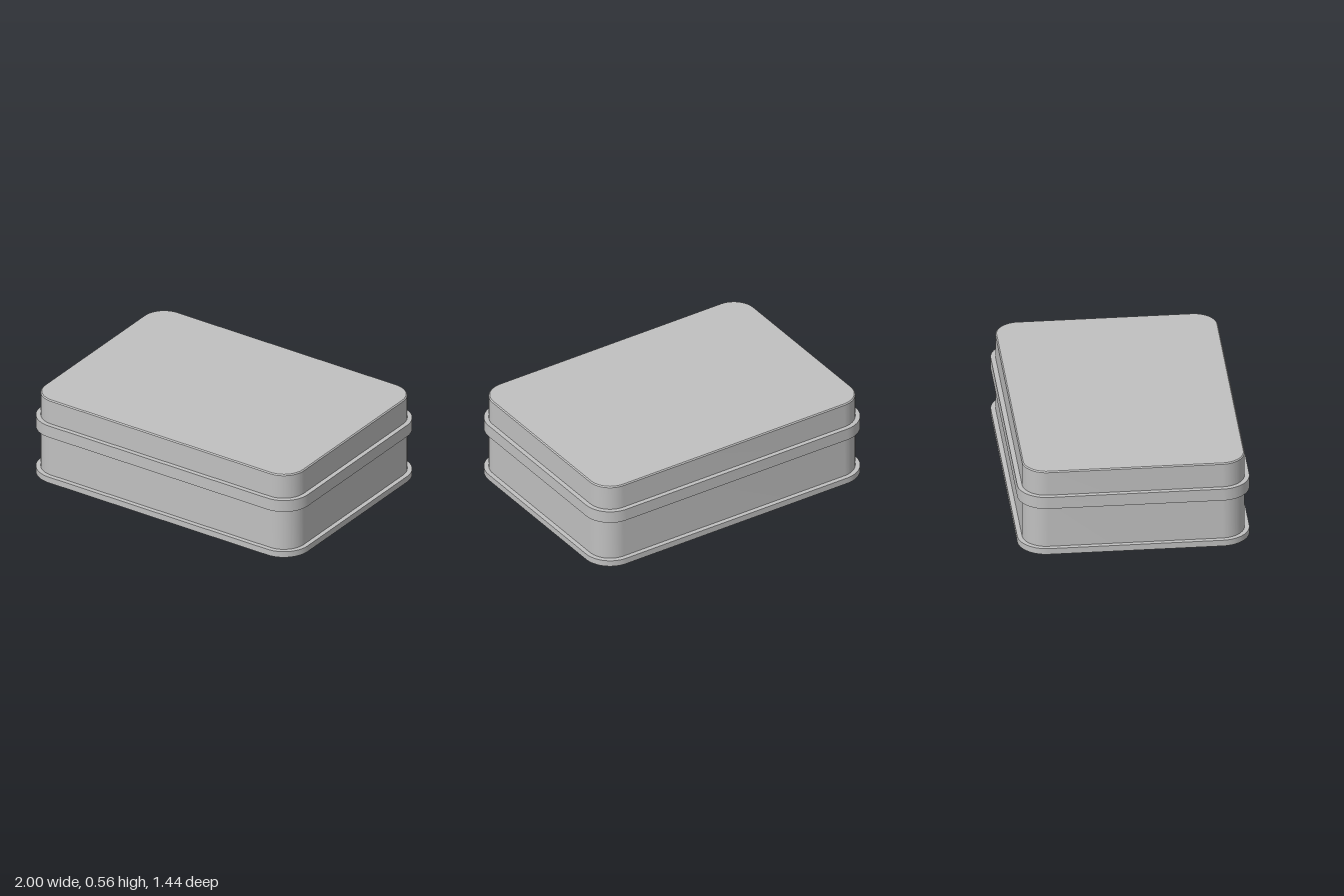
import * as THREE from 'three';
import { toCreasedNormals } from 'three/addons/utils/BufferGeometryUtils.js';

// Rounded rectangle outline with half sizes w, d and corner radius r
function outline(w, d, r) {
  const s = new THREE.Shape();
  const corners = [[1, 1], [-1, 1], [-1, -1], [1, -1]];
  corners.forEach(([sx, sy], i) => {
    s.absarc(sx * (w - r), sy * (d - r), r, i * Math.PI / 2, (i + 1) * Math.PI / 2, false);
  });
  s.closePath();
  return s;
}

// Upright slab from y0 to y1, with an optional chamfer on both ends
function slab(name, w, d, r, y0, y1, material, chamfer = 0) {
  const geometry = new THREE.ExtrudeGeometry(outline(w, d, r), {
    depth: y1 - y0 - 2 * chamfer,
    curveSegments: 16,
    bevelEnabled: chamfer > 0,
    bevelSize: chamfer,
    bevelThickness: chamfer,
    bevelOffset: -chamfer,
    bevelSegments: 1,
  });
  geometry.rotateX(-Math.PI / 2);
  geometry.translate(0, y0 + chamfer, 0);
  const mesh = new THREE.Mesh(toCreasedNormals(geometry, 0.5), material);
  mesh.name = name;
  return mesh;
}

export function createModel() {
  const grey = new THREE.MeshStandardMaterial({ color: 0xc0c0c0 });
  grey.name = 'light grey';

  const group = new THREE.Group();
  group.name = 'lidded box';
  group.add(
    slab('baseRim', 1, 0.72, 0.18, 0, 0.04, grey),
    slab('body', 0.97, 0.69, 0.15, 0.04, 0.32, grey),
    slab('lidRim', 1, 0.72, 0.18, 0.32, 0.4, grey),
    // The lid's lower chamfer is sunk into the rim
    slab('lid', 0.97, 0.69, 0.15, 0.38, 0.565, grey, 0.007),
  );
  return group;
}
